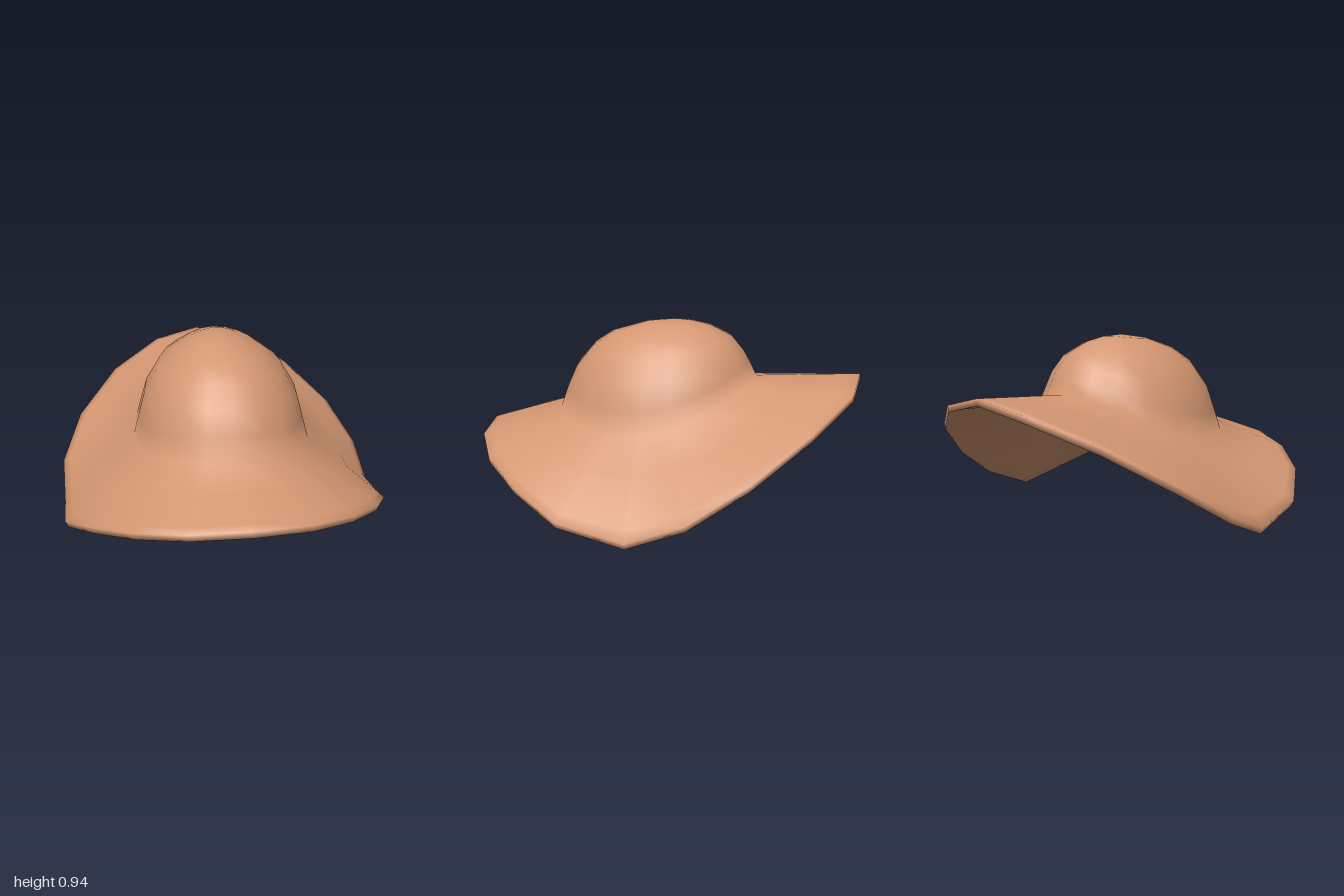
import * as THREE from 'three';

const SEGMENTS = 20;
const THICKNESS = 0.028;

// Brim edge from front to back along the left half: x, y, z, and how far the brim arches upward
const RIM = [
  [0, 0.36, 1, 0], [0.28, 0.337, 0.95, 0], [0.51, 0.288, 0.82, 0], [0.71, 0.212, 0.61, 0],
  [0.835, 0.105, 0.36, 0.01], [0.852, 0.037, 0.03, 0.04], [0.862, 0.15, -0.25, 0.015],
  [0.76, 0.32, -0.52, 0], [0.54, 0.505, -0.78, 0], [0.26, 0.635, -0.96, 0], [0, 0.69, -0.995, 0],
];

// Crown rings from base to top: front z, back z, half width, front y, side y, back y
const CROWN = [
  [0.58, -0.47, 0.462, 0.49, 0.43, 0.66],
  [0.54, -0.435, 0.432, 0.6, 0.54, 0.73],
  [0.49, -0.4, 0.398, 0.705, 0.66, 0.79],
  [0.4, -0.34, 0.325, 0.81, 0.785, 0.86],
  [0.3, -0.23, 0.215, 0.875, 0.87, 0.915],
  [0.12, -0.13, 0.11, 0.928, 0.925, 0.937],
];

const ringOf = (pointAt) => Array.from({ length: SEGMENTS }, (_, i) => pointAt(i));
const rimRow = (i) => RIM[i > SEGMENTS / 2 ? SEGMENTS - i : i];

function crownRing([front, back, width, yFront, ySide, yBack]) {
  return ringOf((i) => {
    const a = (i / SEGMENTS) * Math.PI * 2;
    const u = Math.cos(a), s = Math.sin(a);
    const yMid = (yFront + yBack) / 2;
    const y = yMid + (yFront - yBack) / 2 * u + (ySide - yMid) * s * s;
    return new THREE.Vector3(width * s, y, (front + back) / 2 + (front - back) / 2 * u);
  });
}

// Joins closed rings into a smooth surface ending in a point, optionally starting from one too
function loft(rings, end, start) {
  const points = [...rings.flat(), end];
  const last = (rings.length - 1) * SEGMENTS;
  const index = [];
  for (let i = 0; i < SEGMENTS; i++) {
    const n = (i + 1) % SEGMENTS;
    for (let j = 0; j < last; j += SEGMENTS) {
      const a = j + i, b = j + n;
      index.push(a, b, a + SEGMENTS, b, b + SEGMENTS, a + SEGMENTS);
    }
    index.push(last + i, last + n, last + SEGMENTS);
    if (start) index.push(n, i, points.length);
  }
  if (start) points.push(start);
  const geometry = new THREE.BufferGeometry().setFromPoints(points);
  geometry.setIndex(index);
  geometry.computeVertexNormals();
  return geometry;
}

export function createModel() {
  const felt = new THREE.MeshStandardMaterial({ color: 0xd49772 });
  felt.name = 'tan felt';

  // Outer rings: brim edge, arched brim, then the crown
  const rim = ringOf((i) => {
    const [x, y, z] = rimRow(i);
    return new THREE.Vector3(i > SEGMENTS / 2 ? -x : x, y, z);
  });
  const crown = CROWN.map(crownRing);
  const brim = [0.1, 0.5].map((t) => rim.map((p, i) => {
    const q = p.clone().lerp(crown[0][i], t);
    q.y += rimRow(i)[3] * 4 * t * (1 - t);
    return q;
  }));
  const outer = [rim, ...brim, ...crown];
  const top = new THREE.Vector3(0, 0.945, -0.03);

  // Inner rings: the outer ones moved inward, with a nearly upright brim edge
  const normals = loft(outer, top).attributes.normal;
  const inner = outer.map((ring, j) => ring.map((p, i) => {
    if (j === 0) return new THREE.Vector3(p.x * 0.98, p.y - 0.033, p.z);
    const n = new THREE.Vector3().fromBufferAttribute(normals, j * SEGMENTS + i);
    return p.clone().addScaledVector(n, -THICKNESS);
  }));
  const innerTop = top.clone().setY(top.y - THICKNESS);

  // One continuous skin from the inside of the crown, round the brim edge, to the outer top
  const shell = new THREE.Mesh(loft([...inner.reverse(), ...outer], top, innerTop), felt);
  shell.name = 'brimAndCrown';

  const hat = new THREE.Group();
  hat.name = 'hat';
  hat.add(shell);
  return hat;
}
